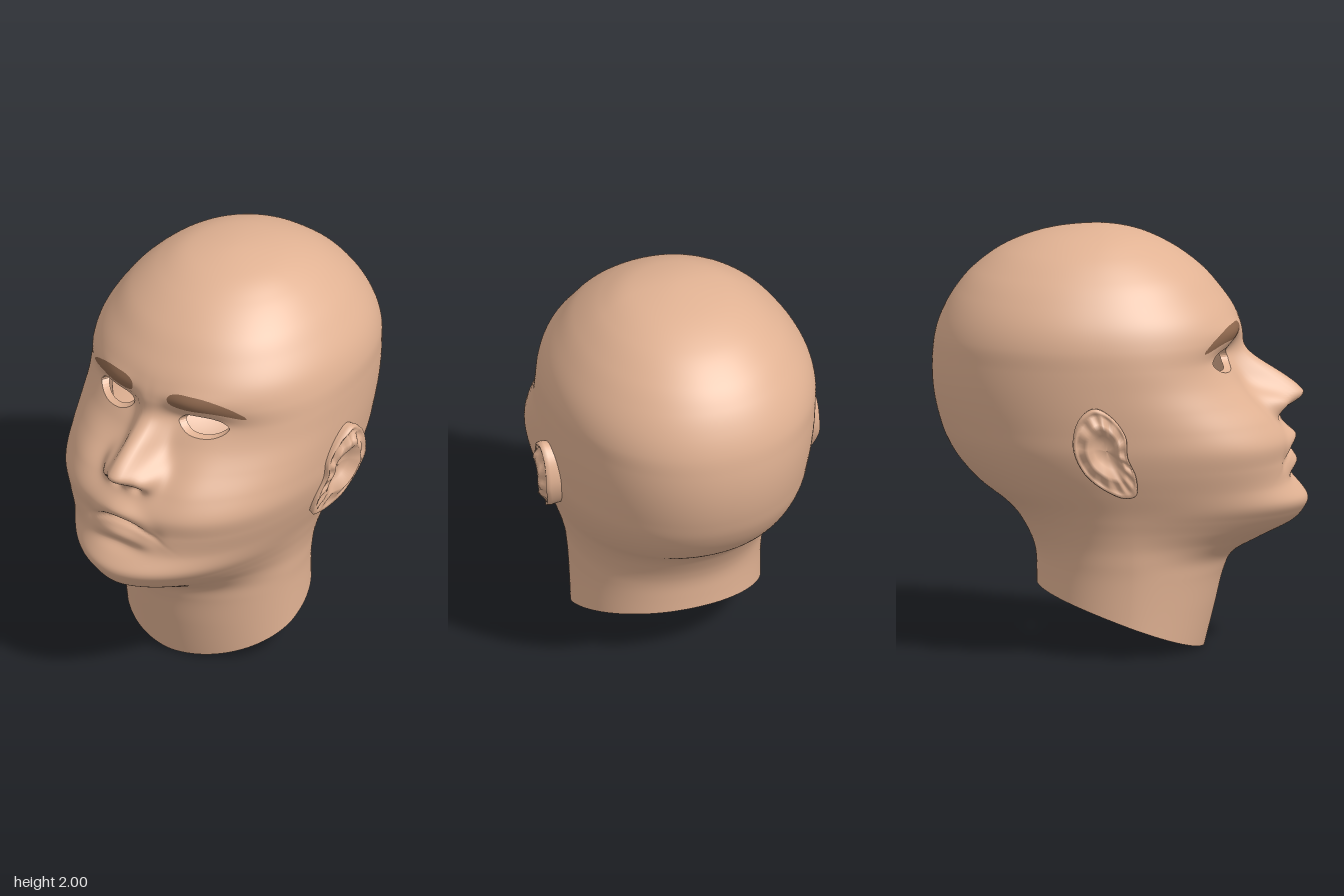
import * as THREE from 'three';

const skin = new THREE.MeshStandardMaterial({ color: 0xe1b293, side: THREE.DoubleSide });
skin.name = 'skin';
const browBrown = new THREE.MeshStandardMaterial({ color: 0x8f684e, side: THREE.DoubleSide });
browBrown.name = 'browBrown';

// Horizontal sections: height, front z, back z, half width, z of the widest point, front squareness
const SECTIONS = [
  [-0.1, 0.37, -0.39, 0.455, 0.03, 1.8],
  [0, 0.4, -0.39, 0.455, 0.03, 1.8],
  [0.2, 0.45, -0.39, 0.455, 0.04, 1.8],
  [0.36, 0.49, -0.39, 0.458, 0.05, 1.8],
  [0.45, 0.54, -0.395, 0.465, 0.05, 1.75],
  [0.52, 0.67, -0.415, 0.472, 0.05, 1.67],
  [0.59, 0.81, -0.45, 0.487, 0.05, 1.72],
  [0.65, 0.868, -0.49, 0.505, 0.05, 1.85],
  [0.71, 0.885, -0.55, 0.525, 0.05, 2],
  [0.8, 0.825, -0.665, 0.56, 0.04, 2.15],
  [0.9, 0.805, -0.755, 0.595, 0.02, 2.3],
  [1.0, 0.795, -0.815, 0.62, 0, 2.4],
  [1.1, 0.725, -0.85, 0.63, -0.02, 2.38],
  [1.2, 0.635, -0.872, 0.637, -0.05, 2.35],
  [1.3, 0.565, -0.882, 0.64, -0.08, 2.3],
  [1.4, 0.525, -0.88, 0.641, -0.1, 2.3],
  [1.5, 0.555, -0.866, 0.636, -0.13, 2.2],
  [1.6, 0.54, -0.83, 0.608, -0.14, 2.15],
  [1.7, 0.475, -0.772, 0.552, -0.14, 2.1],
  [1.8, 0.385, -0.685, 0.474, -0.13, 2.1],
  [1.9, 0.25, -0.545, 0.36, -0.12, 2],
  [1.97, 0.09, -0.355, 0.215, -0.1, 2],
  [2, -0.11, -0.11, 0, -0.11, 2],
  [1.97, -0.355, 0.09, -0.215, -0.1, 2],
];

// Smooth blend of neighbouring sections
function section(i, t) {
  const [a, b, c, d] = [0, 1, 2, 3].map((k) => SECTIONS[i - 1 + k]);
  return b.map((v, n) => 0.5 * (2 * v + (c[n] - a[n]) * t
    + (2 * a[n] - 5 * v + 4 * c[n] - d[n]) * t * t
    + (3 * v - a[n] - 3 * c[n] + d[n]) * t * t * t));
}

// Forward relief of the face: nose, lips, sockets, brow ridge and cheeks
function relief(x, y) {
  const u = Math.abs(x), m = y + 1.6 * u * u;
  const bump = (h, x0, sx, v, y0, sy) => h * Math.exp(-(((u - x0) / sx) ** 2) - ((v - y0) / sy) ** 2);
  const noseY = Math.exp(-(((y - 1.21) / (y < 1.21 ? 0.08 : 0.185)) ** 2));
  const noseW = 0.072 + 0.035 * Math.exp(-(((y - 1.16) / 0.09) ** 2));
  return 0.235 * noseY * Math.exp(-((u / noseW) ** 2.5))
    + bump(0.06, 0.115, 0.045, y, 1.16, 0.055)
    + bump(-0.025, 0.055, 0.03, y, 1.105, 0.02)
    + bump(0.028, 0, 0.11, m, 0.88, 0.04)
    + bump(0.035, 0, 0.11, m, 1.0, 0.04)
    + bump(-0.035, 0, 0.13, m, 0.945, 0.013)
    + bump(-0.022, 0, 0.13, y, 0.815, 0.03)
    + bump(-0.01, 0.19, 0.04, y, 0.9, 0.05)
    + bump(-0.015, 0.15, 0.06, y, 1.42, 0.06)
    + bump(-0.015, 0.27, 0.13, y, 1.42, 0.05)
    + bump(0.02, 0.22, 0.17, y, 1.53, 0.05)
    + bump(0.025, 0.3, 0.12, y, 1.15, 0.13);
}

// Head and neck as a smooth grid of triangles; each corner holds position and normal
function headTriangles() {
  const cols = 220, steps = 11, pos = [], idx = [], pw = Math.pow;
  const rows = (SECTIONS.length - 3) * steps;
  for (let r = 0; r <= rows; r++) {
    const i = Math.min(1 + Math.floor(r / steps), SECTIONS.length - 3);
    const [y, zf, zb, w, zc, p] = section(i, r / steps - i + 1);
    for (let j = 0; j < cols; j++) {
      const a = (j / cols) * Math.PI * 2, t = a - 0.4 * Math.sin(a);
      const s = Math.sin(t), c = Math.cos(t), e = 2 / (c > 0 ? p : 2.1);
      const x = w * Math.sign(s) * pw(Math.abs(s), e);
      let z = zc + (c > 0 ? zf - zc : zb - zc) * pw(Math.abs(c), e);
      if (c > 0) z += relief(x, y) * Math.min(1, c * 2);
      pos.push(x, y, z);
      if (r < rows) {
        const k = r * cols + j, k1 = r * cols + ((j + 1) % cols);
        idx.push(k, k1, k + cols, k1, k1 + cols, k + cols);
      }
    }
  }
  const g = new THREE.BufferGeometry();
  g.setAttribute('position', new THREE.Float32BufferAttribute(pos, 3));
  g.setIndex(idx);
  g.computeVertexNormals();
  const n = g.attributes.normal;
  for (let j = 0; j < cols; j++) n.setXYZ(rows * cols + j, 0, 1, 0);
  const verts = [];
  for (let k = 0; k < n.count; k++) {
    verts.push([pos[3 * k], pos[3 * k + 1], pos[3 * k + 2], n.getX(k), n.getY(k), n.getZ(k)]);
  }
  const tris = [];
  for (let k = 0; k < idx.length; k += 3) tris.push([verts[idx[k]], verts[idx[k + 1]], verts[idx[k + 2]]]);
  return tris;
}

// Split triangles cleanly along f = 0
function split(tris, f) {
  const out = { inside: [], outside: [], edges: [] };
  for (const tri of tris) {
    const d = tri.map(f), inP = [], outP = [], cut = [];
    tri.forEach((v, k) => {
      const q = (k + 1) % 3;
      (d[k] >= 0 ? inP : outP).push(v);
      if ((d[k] >= 0) !== (d[q] >= 0)) {
        const t = d[k] / (d[k] - d[q]);
        const m = v.map((c, n) => c + (tri[q][n] - c) * t);
        inP.push(m); outP.push(m); cut.push(m);
      }
    });
    for (const [poly, list] of [[inP, out.inside], [outP, out.outside]]) {
      for (let k = 2; k < poly.length; k++) list.push([poly[0], poly[k - 1], poly[k]]);
    }
    if (cut.length === 2) out.edges.push(cut);
  }
  return out;
}

function triMesh(name, tris, material) {
  const pos = [], nor = [];
  for (const v of tris.flat()) {
    pos.push(v[0], v[1], v[2]);
    nor.push(v[3], v[4], v[5]);
  }
  const g = new THREE.BufferGeometry();
  g.setAttribute('position', new THREE.Float32BufferAttribute(pos, 3));
  g.setAttribute('normal', new THREE.Float32BufferAttribute(nor, 3));
  const mesh = new THREE.Mesh(g, material);
  mesh.name = name;
  return mesh;
}

const EYE_X = 0.25, EYE_Y = 1.395;
const neckCut = ([, y, z]) => y - (0.168 - 0.379 * z - 0.103 * z * z);
const eyeShape = ([x, y, z]) => (z < 0.1 ? -1
  : 1 - Math.abs((Math.abs(x) - EYE_X) / 0.122) ** 2.4 - Math.abs((y - EYE_Y) / 0.055) ** 1.4);
const browShape = ([x, y, z]) => {
  if (z < 0.1) return -1;
  const u = Math.abs(x), mid = 1.528 - 1.7 * Math.max(0, u - 0.24) ** 2;
  return 1 - ((u - 0.27) / 0.172) ** 4 - ((y - mid) / (0.045 - 0.08 * (u - 0.15))) ** 2;
};

// Eyelid edge: a short wall narrowing inward from the eye opening
function lidMesh(edges) {
  const pos = [];
  const back = ([x, y, z]) => [x + (Math.sign(x) * EYE_X - x) * 0.15, y + (EYE_Y - y) * 0.15, z - 0.035];
  for (const [a, b] of edges) {
    pos.push(...a.slice(0, 3), ...b.slice(0, 3), ...back(a), ...b.slice(0, 3), ...back(b), ...back(a));
  }
  const g = new THREE.BufferGeometry();
  g.setAttribute('position', new THREE.Float32BufferAttribute(pos, 3));
  g.computeVertexNormals();
  const mesh = new THREE.Mesh(g, skin);
  mesh.name = 'eyelidEdges';
  return mesh;
}

// Ear: rings of one outline, with a low rim, a fluted fold and a sunken bowl
function ear(side) {
  const outline = new THREE.CatmullRomCurve3([
    [0.07, 0.81], [0.07, 0.9], [0.03, 1.0], [0.02, 1.1], [-0.05, 1.2], [-0.13, 1.24],
    [-0.2, 1.19], [-0.23, 1.06], [-0.18, 0.93], [-0.08, 0.84], [0.02, 0.795],
  ].map(([z, y]) => new THREE.Vector3(0, y, z)), true);
  const rings = [[0.95, -0.8, 0], [1, 0.6, 0], [0.97, 1, 0], [0.9, 0.95, 0],
    [0.82, 0.75, 0.007], [0.66, 1.15, 0.007], [0.55, 1.35, 0], [0.38, 0.4, 0], [0.2, 0.1, 0], [0.01, 0.1, 0]];
  const n = 72, pos = [], idx = [], cy = 1.03, cz = -0.07;
  rings.forEach(([s, k, flute], i) => {
    for (let j = 0; j < n; j++) {
      const p = outline.getPoint(j / n);
      const y = cy + (p.y - cy) * s, z = cz + (p.z - cz) * s;
      const h = 0.02 + 0.035 * THREE.MathUtils.smoothstep(0.06 - p.z, 0, 0.18);
      const base = Math.min(0.63, 0.575 + (y - 0.8) * 0.23);
      pos.push(side * (base + h * k + flute * Math.cos((j / n) * Math.PI * 24)), y, z);
      if (i < rings.length - 1) {
        const a = i * n + j, b = i * n + ((j + 1) % n);
        if (side > 0) idx.push(a, a + n, b, b, a + n, b + n);
        else idx.push(a, b, a + n, b, b + n, a + n);
      }
    }
  });
  const g = new THREE.BufferGeometry();
  g.setAttribute('position', new THREE.Float32BufferAttribute(pos, 3));
  g.setIndex(idx);
  g.computeVertexNormals();
  const mesh = new THREE.Mesh(g, skin);
  mesh.name = side > 0 ? 'leftEar' : 'rightEar';
  return mesh;
}

export function createModel() {
  const group = new THREE.Group();
  group.name = 'head';
  const trimmed = split(headTriangles(), neckCut).inside;
  const eyes = split(trimmed, eyeShape);
  const brows = split(eyes.outside, browShape);
  group.add(triMesh('headAndNeck', brows.outside, skin));
  group.add(triMesh('eyebrows', brows.inside, browBrown));
  group.add(lidMesh(eyes.edges));
  group.add(ear(1), ear(-1));
  return group;
}
